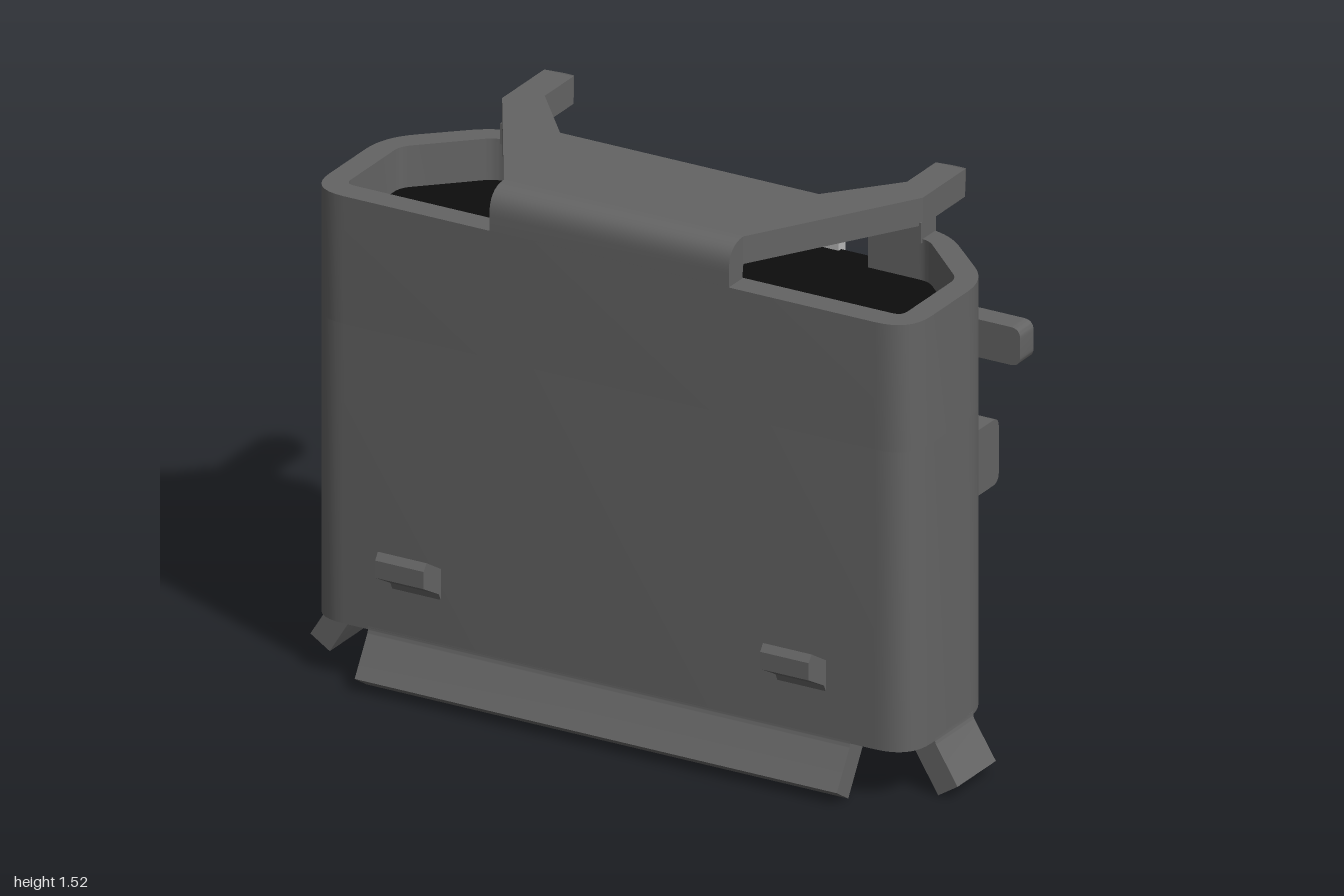
import * as THREE from 'three';
import { toCreasedNormals } from 'three/addons/utils/BufferGeometryUtils.js';

const flat = (name, color) => {
  const m = new THREE.MeshStandardMaterial({ color });
  m.name = name;
  return m;
};

// Closed outline from [x, y, cornerRadius] points
function outline(points, Type = THREE.Shape) {
  const path = new Type();
  const n = points.length;
  points.forEach(([x, y, r = 0], i) => {
    const c = new THREE.Vector2(x, y);
    const toward = ([px, py]) => new THREE.Vector2(px, py).sub(c).setLength(r).add(c);
    const a = r ? toward(points[(i + n - 1) % n]) : c;
    if (i === 0) path.moveTo(a.x, a.y);
    else path.lineTo(a.x, a.y);
    if (r) {
      const b = toward(points[(i + 1) % n]);
      path.quadraticCurveTo(x, y, b.x, b.y);
    }
  });
  path.closePath();
  return path;
}

const extrude = (shape, depth) =>
  new THREE.ExtrudeGeometry(shape, { depth, bevelEnabled: false, curveSegments: 8 });
const smooth = (g) => toCreasedNormals(g, 0.5);

// Plan outline in (x, z), extruded between two heights
const alongY = (shape, y0, y1) =>
  smooth(extrude(shape, y1 - y0).rotateX(Math.PI / 2).translate(0, y1, 0));
// Side profile in (z, y), extruded between two x positions
const alongX = (pts, x0, x1) =>
  smooth(extrude(outline(pts.map(([z, y, r]) => [-z, y, r])), x1 - x0)
    .rotateY(Math.PI / 2).translate(x0, 0, 0));
// Front profile in (x, y), extruded between two z positions
const alongZ = (pts, z0, z1) => smooth(extrude(outline(pts), z1 - z0).translate(0, 0, z0));

const box = (x0, x1, y0, y1, z0, z1) =>
  new THREE.BoxGeometry(x1 - x0, y1 - y0, z1 - z0)
    .translate((x0 + x1) / 2, (y0 + y1) / 2, (z0 + z1) / 2);

export function createModel() {
  const model = new THREE.Group();
  model.name = 'socket';
  const metal = flat('shell metal', 0x646464);
  const plastic = flat('black plastic', 0x0d0d0d);
  const contact = flat('contact metal', 0xb8b8b8);
  const add = (name, geometry, material = metal) => {
    const mesh = new THREE.Mesh(geometry, material);
    mesh.name = name;
    model.add(mesh);
  };

  // Half outlines from the back centre round to the front
  const outerHalf = [[0.69, -0.25, 0.09], [0.93, -0.03, 0.09], [0.93, 0.36, 0.11]];
  const innerHalf = [[0.67, -0.18, 0.03], [0.86, 0, 0.03], [0.86, 0.285, 0.03]];
  const mirror = (half) => [...half].reverse().map(([x, z, r]) => [-x, z, r]);
  const outer = [...outerHalf, ...mirror(outerHalf)];
  const inner = [...innerHalf, ...mirror(innerHalf)];

  // Shell: closed ring below, open at the back above
  const ring = outline(outer);
  ring.holes.push(outline(inner, THREE.Path));
  add('shell', alongY(ring, 0.16, 1.03));
  const open = [[0.48, -0.25], ...outer, [-0.48, -0.25], [-0.48, -0.18],
    ...[...inner].reverse(), [0.48, -0.18]];
  add('shellTop', alongY(outline(open), 1.03, 1.4));

  // Plastic insert with its tongue
  add('insert', alongY(outline(inner), 0.9, 1.28), plastic);
  add('insertBack', box(-0.48, 0.48, 1.03, 1.28, -0.248, -0.17), plastic);
  add('tongue', box(-0.55, 0.55, 0.2, 0.95, 0, 0.17), plastic);

  // Contacts
  for (let i = -2; i <= 2; i++) {
    const x = i * 0.162;
    add('contact', alongX([[-0.235, 1.23], [-0.27, 1.23, 0.015], [-0.27, 1.39, 0.012],
      [-0.235, 1.39]], x - 0.033, x + 0.033), contact);
  }

  // Folded top plate with two arms
  const armHalf = [[0.4, -0.06], [0.56, -0.25], [0.56, -0.4], [0.65, -0.4],
    [0.65, -0.18], [0.37, 0.285]];
  add('topPlate', alongY(outline([...armHalf, ...mirror(armHalf)]), 1.44, 1.52));
  add('topFold', alongX([[0.36, 1.4], [0.36, 1.52, 0.075], [0.284, 1.52],
    [0.284, 1.44], [0.29, 1.4]], -0.37, 0.37));

  // Flared lip profile: [distance out from centre, height]
  const flare = (face) => [[face - 0.07, 0.17], [face, 0.17], [face, 0.155, 0.01],
    [face + 0.07, 0.042], [face + 0.01, 0.004], [face - 0.07, 0.135, 0.01]];
  add('frontLip', alongX(flare(0.36), -0.745, 0.745));

  for (const s of [1, -1]) {
    const span = (a, b) => (s > 0 ? [a, b] : [-b, -a]);
    const flip = (pts) => pts.map(([x, y, r]) => [s * x, y, r]);

    // Tapered arm tip
    const tip = box(-0.045, 0.045, -0.04, 0.04, -0.05, 0);
    const p = tip.attributes.position;
    for (let i = 0; i < p.count; i++) {
      if (p.getZ(i) < -0.01) p.setXY(i, p.getX(i) * 0.4, p.getY(i) * 0.45);
    }
    tip.computeVertexNormals();
    add('armTip', tip.translate(s * 0.605, 1.48, -0.4));
    add('armPost', box(...span(0.56, 0.65), 1.39, 1.45, -0.25, -0.17));

    // Lips and mounting tabs
    add('backLip', alongX(flare(0.25).map(([z, y, r]) => [-z, y, r]), ...span(0.015, 0.62)));
    add('sideLip', alongZ(flip(flare(0.93)), 0.03, 0.23));
    add('sideTab', alongZ(flip([[0.64, 1.09], [0.945, 1.09, 0.03], [0.945, 1.2, 0.03],
      [0.64, 1.2]]), -0.26, -0.19));
    add('backPeg', alongX([[-0.2, 0.61], [-0.45, 0.61, 0.03], [-0.45, 0.8, 0.03],
      [-0.2, 0.8]], ...span(0.655, 0.725)));
    add('frontCatch', alongX([[0.34, 0.375], [0.36, 0.385], [0.435, 0.43], [0.45, 0.41],
      [0.45, 0.36], [0.37, 0.315], [0.36, 0.295], [0.34, 0.295]], ...span(0.52, 0.67)));
  }
  return model;
}
